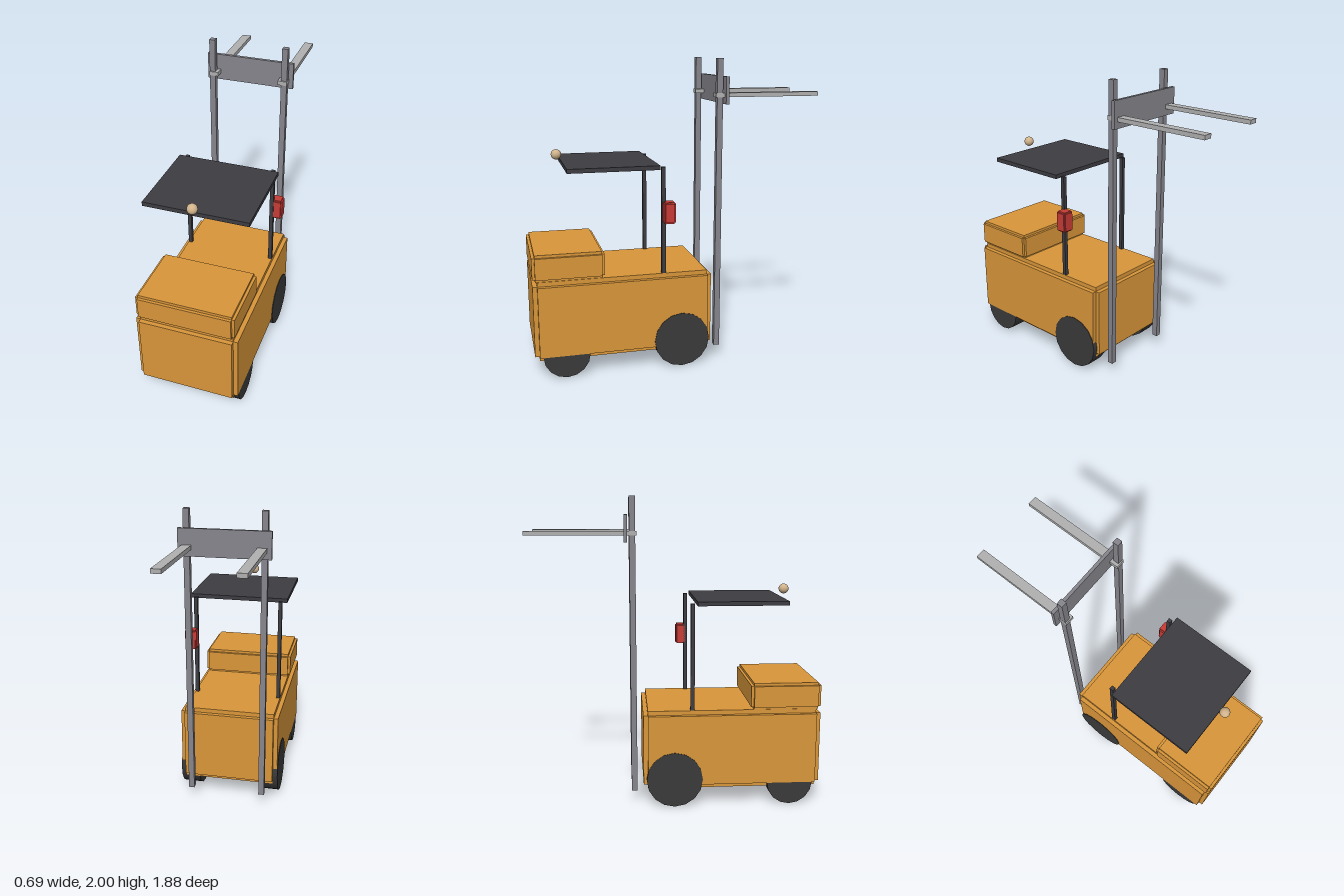
import * as THREE from 'three';

const mat = (color) => new THREE.MeshStandardMaterial({ color });
const CX = -0.0125; // the truck's own centre line

export function createModel() {
  const truck = new THREE.Group();
  truck.name = 'forkliftTruck';
  const orange = mat(0xd9963a), dark = mat(0x3d3d42), tyre = mat(0x3a3a3a);
  const steel = mat(0x85858c), forkGrey = mat(0xb0b0b0), red = mat(0xc83c36), tan = mat(0xd2b48c);

  // box given by its min and max corners
  function box(name, material, [x0, y0, z0], [x1, y1, z1], parent = truck) {
    const mesh = new THREE.Mesh(new THREE.BoxGeometry(x1 - x0, y1 - y0, z1 - z0), material);
    mesh.position.set((x0 + x1) / 2, (y0 + y1) / 2, (z0 + z1) / 2);
    mesh.name = name;
    parent.add(mesh);
    return mesh;
  }

  // block with notched edges: three crossing boxes, each full size along one axis
  function steppedBlock(name, material, min, max, step) {
    const group = new THREE.Group();
    group.name = name;
    ['Width', 'Height', 'Depth'].forEach((label, axis) => {
      const lo = min.map((v, i) => (i === axis ? v : v + step));
      const hi = max.map((v, i) => (i === axis ? v : v - step));
      box(name + label, material, lo, hi, group);
    });
    truck.add(group);
  }

  // bodywork
  steppedBlock('body', orange, [-0.345, 0.12, -0.215], [0.32, 0.642, 0.942], 0.029);
  steppedBlock('counterweight', orange, [-0.332, 0.64, 0.485], [0.304, 0.815, 0.942], 0.018);

  // wheels
  function wheel(name, radius, x, z) {
    const geometry = new THREE.CylinderGeometry(radius, radius, 0.125, 16);
    geometry.rotateZ(Math.PI / 2);
    const mesh = new THREE.Mesh(geometry, tyre);
    mesh.position.set(x, radius + 0.003, z);
    mesh.name = name;
    truck.add(mesh);
  }

  for (const [label, s] of [['Left', 1], ['Right', -1]]) {
    wheel('driveWheel' + label, 0.183, CX + s * 0.274, -0.013);
    wheel('steerWheel' + label, 0.15, CX + s * 0.269, 0.743);

    // roof post
    const px = CX + s * 0.29;
    box('roofPost' + label, dark, [px - 0.0125, 0.63, 0.09], [px + 0.0125, 1.335, 0.116]);

    // mast rail and fork
    const rx = CX + s * 0.242;
    box('mastRail' + label, steel, [rx - 0.019, 0.09, -0.293], [rx + 0.019, 2, -0.255]);
    const fx = CX + s * 0.232;
    box('fork' + label, forkGrey, [fx - 0.03, 1.758, -0.942], [fx + 0.03, 1.785, -0.247]);
  }

  box('roof', dark, [-0.345, 1.323, 0.13], [0.32, 1.35, 0.71]);
  box('carriagePlate', steel, [-0.303, 1.715, -0.326], [0.276, 1.887, -0.305]);

  // red box on the left roof post
  steppedBlock('postBox', red, [0.265, 0.978, 0.034], [0.345, 1.116, 0.112], 0.009);

  // small round lamp by the roof edge
  const lamp = new THREE.Mesh(new THREE.SphereGeometry(0.033, 20, 14), tan);
  lamp.position.set(-0.0125, 1.395, 0.742);
  lamp.name = 'lamp';
  truck.add(lamp);

  return truck;
}
